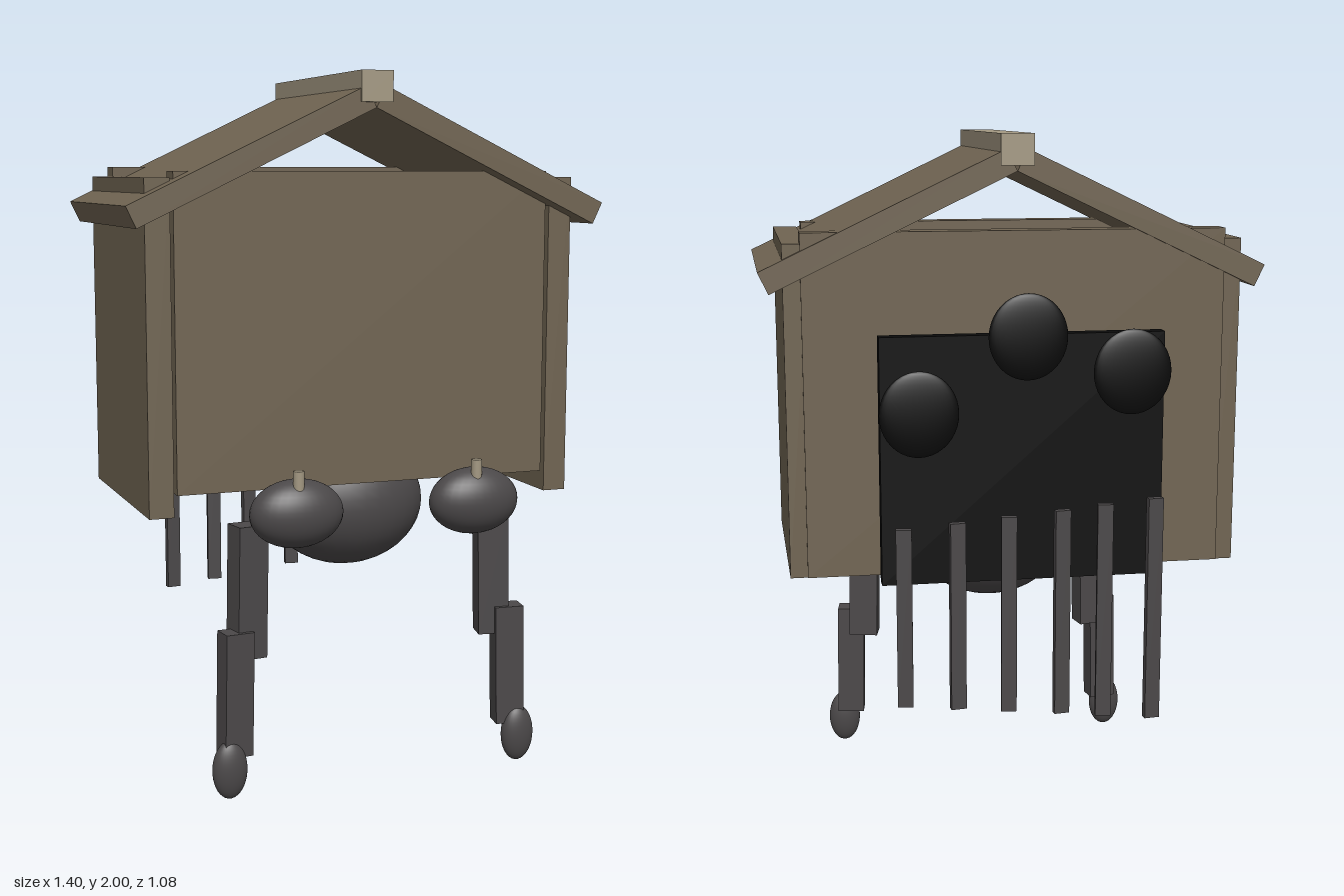
import * as THREE from 'three';

const material = (name, color) => {
  const m = new THREE.MeshStandardMaterial({ color });
  m.name = name;
  return m;
};

export function createModel() {
  const model = new THREE.Group();
  model.name = 'leggedHut';
  const wood = material('brown wood', 0x706452);
  const pale = material('pale wood', 0xa39882);
  const grey = material('dark grey', 0x4b4849);
  const black = material('black', 0x0b0b0b);

  const add = (name, geometry, mat, x, y, z) => {
    const mesh = new THREE.Mesh(geometry, mat);
    mesh.name = name;
    mesh.position.set(x, y, z);
    model.add(mesh);
    return mesh;
  };
  // Box given by its limits on each axis
  const box = (name, mat, [x0, x1], [y0, y1], [z0, z1]) =>
    add(name, new THREE.BoxGeometry(x1 - x0, y1 - y0, z1 - z0), mat,
      (x0 + x1) / 2, (y0 + y1) / 2, (z0 + z1) / 2);
  const ellipsoid = (name, mat, x, y, z, rx, ry, rz) =>
    add(name, new THREE.SphereGeometry(1, 32, 20).scale(rx, ry, rz), mat, x, y, z);

  // Hut body: the wall tops pass slightly through the roof
  box('frontWall', wood, [-0.555, 0.555], [0.85, 1.73], [0.24, 0.305]);
  box('backWall', wood, [-0.587, 0.587], [0.79, 1.742], [-0.348, -0.28]);
  box('floor', wood, [-0.57, 0.57], [0.85, 0.91], [-0.29, 0.26]);

  // Pitched roof with ridge beam
  const pitch = Math.atan(0.476), thick = 0.066, length = 0.745;
  box('ridgeBeam', pale, [-0.046, 0.046], [1.915, 2], [-0.362, 0.382]);

  for (const s of [-1, 1]) {
    const side = s > 0 ? 'left' : 'right';
    box(side + 'Wall', wood, s > 0 ? [0.565, 0.635] : [-0.635, -0.565], [0.79, 1.713], [-0.342, 0.308]);

    // Slab whose underside runs from the ridge down to the eave
    const slab = new THREE.BoxGeometry(length, thick, 0.732);
    slab.translate(s * length / 2, thick / 2, 0);
    add(side + 'RoofSlab', slab, wood, 0, 1.9, 0.009).rotation.z = -s * pitch;

    // Eyes with a small peg on top
    ellipsoid(side + 'Eye', grey, s * 0.264, 0.812, 0.461, 0.133, 0.095, 0.076);
    add(side + 'EyePeg', new THREE.CylinderGeometry(0.015, 0.015, 0.07, 16), pale,
      s > 0 ? 0.255 : -0.27, 0.9, 0.497);

    // Two-part legs with feet
    add(side + 'UpperLeg', new THREE.BoxGeometry(0.09, 0.375, 0.072), grey,
      s * 0.372, 0.58, 0.355).rotation.set(0, -s * 0.2, s * 0.02);
    add(side + 'LowerLeg', new THREE.BoxGeometry(0.084, 0.352, 0.064), grey,
      s * 0.417, 0.298, 0.38).rotation.set(0, -s * 0.15, s * 0.02);
    ellipsoid(side + 'Foot', grey, s * 0.442, 0.088, 0.404, 0.05, 0.083, 0.031);
  }

  // Belly below the floor
  ellipsoid('belly', grey, 0, 0.77, 0.13, 0.235, 0.19, 0.18);

  // Dark panel and floating discs behind the hut
  box('backPanel', black, [-0.391, 0.391], [0.79, 1.473], [-0.457, -0.413]);
  for (const [x, y] of [[-0.285, 1.375], [0, 1.475], [0.293, 1.275]])
    ellipsoid('disc', black, x, y, -0.524, 0.107, 0.116, 0.018);

  // Row of hanging bars, shortening from one side to the other
  [-0.36, -0.22, -0.1, 0.048, 0.19, 0.336].forEach((x, i) => {
    const bottom = 0.382 + i * 0.015, top = 1.02 - i * 0.012;
    add('hangingBar', new THREE.BoxGeometry(0.043, top - bottom, 0.021), grey,
      x, (top + bottom) / 2, -0.506).rotation.y = (i % 2 ? -1 : 1) * 0.12;
  });

  return model;
}
